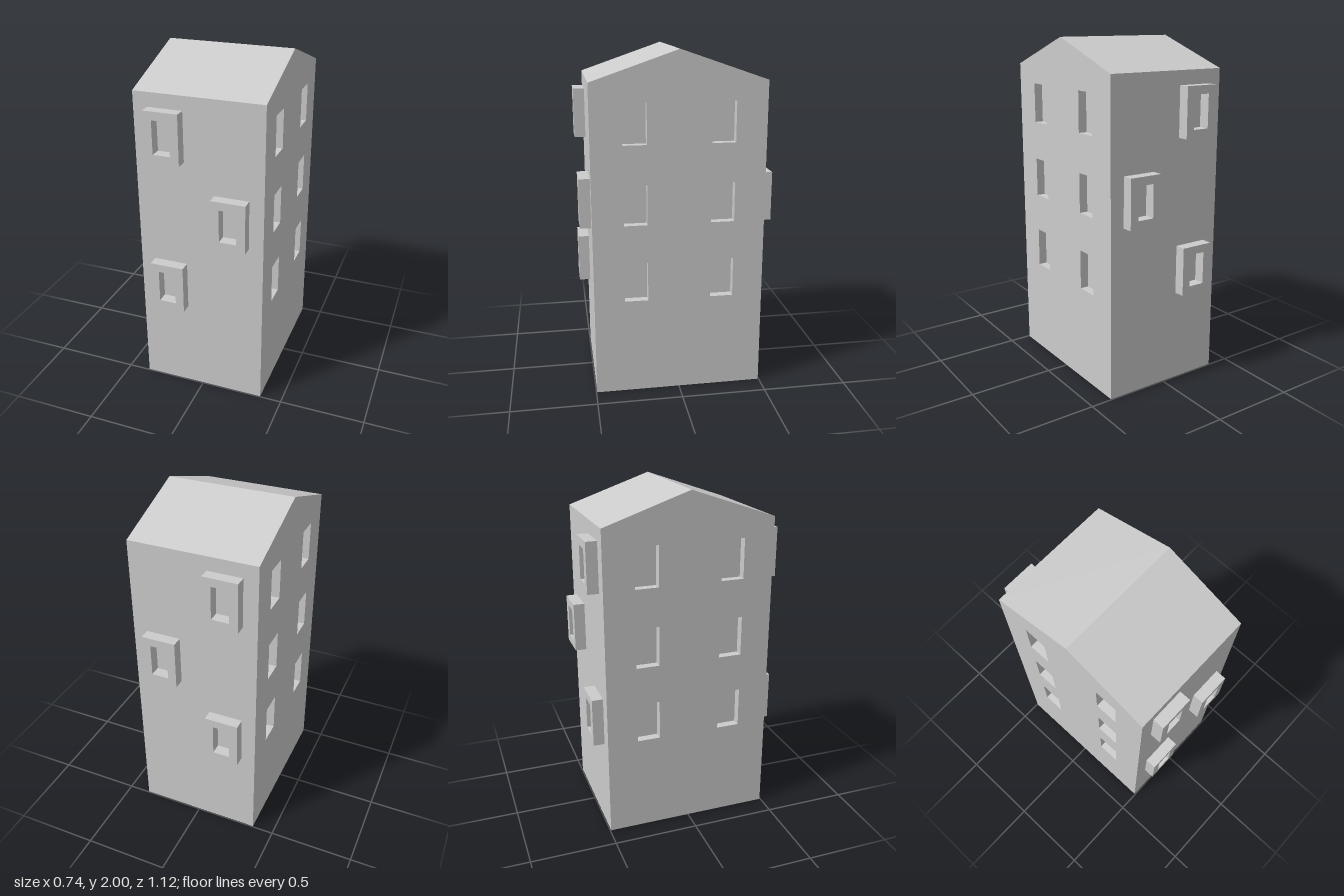
import * as THREE from 'three';

const W = 0.37, D = 0.495, EAVE = 1.83, RIDGE = 2;
const RECESS = 0.05, FRAME = 0.065;
const material = new THREE.MeshStandardMaterial({ color: 0xcccccc, flatShading: true });

function add(parent, name, geometry) {
  const mesh = new THREE.Mesh(geometry, material);
  mesh.name = name;
  parent.add(mesh);
  return mesh;
}

// corners of an upright rectangle, counter-clockwise
function rect(cx, cy, w, h) {
  return [[-1, -1], [1, -1], [1, 1], [-1, 1]]
    .map(([sx, sy]) => new THREE.Vector2(cx + sx * w / 2, cy + sy * h / 2));
}

// open band of quads along a closed outline, from z0 to z1;
// counter-clockwise outlines face outward, clockwise ones inward
function band(outline, z0, z1) {
  const positions = [];
  outline.forEach((a, i) => {
    const b = outline[(i + 1) % outline.length];
    positions.push(a.x, a.y, z0, b.x, b.y, z0, b.x, b.y, z1,
      a.x, a.y, z0, b.x, b.y, z1, a.x, a.y, z1);
  });
  const geometry = new THREE.BufferGeometry();
  geometry.setAttribute('position', new THREE.Float32BufferAttribute(positions, 3));
  geometry.computeVertexNormals();
  return geometry;
}

export function createModel() {
  const model = new THREE.Group();
  model.name = 'towerHouse';

  // front and back walls, roof slopes and base, as one band along x
  const profile = [[-D, 0], [D, 0], [D, EAVE], [0, RIDGE], [-D, EAVE]]
    .map(([x, y]) => new THREE.Vector2(x, y));
  add(model, 'wallsAndRoof', band(profile, -W, W)).rotation.y = Math.PI / 2;

  // gable walls with two columns of recessed windows
  for (const side of [1, -1]) {
    const gable = new THREE.Group();
    gable.name = side > 0 ? 'leftGable' : 'rightGable';
    gable.rotation.y = side * Math.PI / 2;
    const wall = new THREE.Shape(profile);
    for (const y of [0.69, 1.147, 1.605]) {
      for (const x of [-0.25, 0.25]) {
        const opening = rect(x, y, 0.135, 0.232);
        wall.holes.push(new THREE.Path(opening));
        add(gable, 'windowReveal', band([...opening].reverse(), W - RECESS, W));
        add(gable, 'windowPane', new THREE.ShapeGeometry(new THREE.Shape(opening)))
          .position.z = W - RECESS;
      }
    }
    add(gable, 'gableWall', new THREE.ShapeGeometry(wall)).position.z = W;
    model.add(gable);
  }

  // projecting window frames, staggered alike on front and back
  const frameShape = new THREE.Shape(rect(0, 0, 0.2, 0.288));
  frameShape.holes.push(new THREE.Path(rect(0, 0, 0.1, 0.192)));
  const frameGeometry = new THREE.ExtrudeGeometry(frameShape, { depth: FRAME, bevelEnabled: false });
  for (const [x, y] of [[-0.186, 0.69], [0.186, 1.147], [-0.186, 1.605]]) {
    add(model, 'frontWindowFrame', frameGeometry).position.set(x, y, D);
    const back = add(model, 'backWindowFrame', frameGeometry);
    back.position.set(x, y, -D);
    back.rotation.y = Math.PI;
  }
  return model;
}
